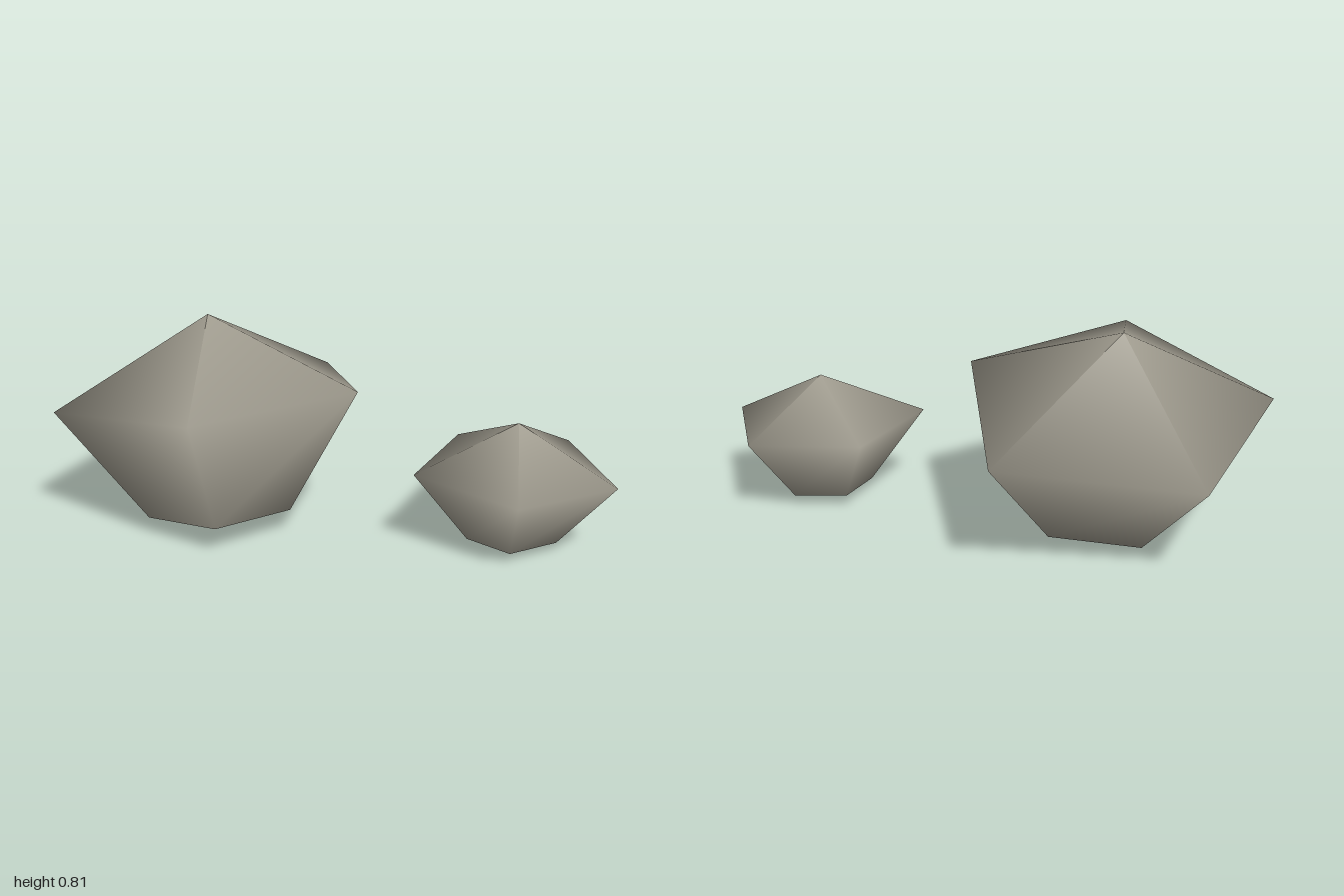
import * as THREE from 'three';

const stone = new THREE.MeshStandardMaterial({ name: 'warm grey stone', color: 0xa09c8f });

// Faceted boulder: a peak, a wide five-sided rim and a small flat base
// (rings run clockwise seen from above, starting at the back)
function makeRock(name, peak, rim, base) {
  const n = rim.length;
  // peak is repeated per face and base is repeated for the underside, to keep those edges crisp
  const points = [...rim, ...base, ...rim.map(() => peak), ...base];
  const index = [];
  for (let i = 0; i < n; i++) {
    const j = (i + 1) % n;
    index.push(2 * n + i, j, i); // upper slope
    index.push(i, j, n + j, i, n + j, n + i); // lower side
    if (i > 0 && i < n - 1) index.push(3 * n, 3 * n + i, 3 * n + i + 1); // underside
  }
  const geometry = new THREE.BufferGeometry();
  geometry.setAttribute('position', new THREE.Float32BufferAttribute(points.flat(), 3));
  geometry.setIndex(index);
  geometry.computeVertexNormals();
  const mesh = new THREE.Mesh(geometry, stone);
  mesh.name = name;
  return mesh;
}

export function createModel() {
  const group = new THREE.Group();
  group.name = 'rocks';

  group.add(makeRock('largeRock', [-0.48, 0.81, 0.155],
    [[-0.42, 0.45, -0.48], [0.13, 0.595, -0.01], [-0.04, 0.63, 0.71], [-0.78, 0.49, 0.69], [-1, 0.385, 0]],
    [[-0.34, 0.035, -0.08], [-0.08, 0.1, 0.14], [-0.16, 0.115, 0.47], [-0.52, 0.05, 0.47], [-0.605, 0, 0.145]]));

  group.add(makeRock('smallRock', [0.63, 0.5, -0.34],
    [[0.625, 0.31, -0.71], [0.995, 0.3, -0.46], [0.83, 0.31, -0.055], [0.39, 0.33, -0.02], [0.28, 0.325, -0.45]],
    [[0.62, 0.04, -0.505], [0.79, 0.04, -0.39], [0.71, 0.04, -0.2], [0.52, 0.045, -0.19], [0.455, 0.05, -0.38]]));

  return group;
}
